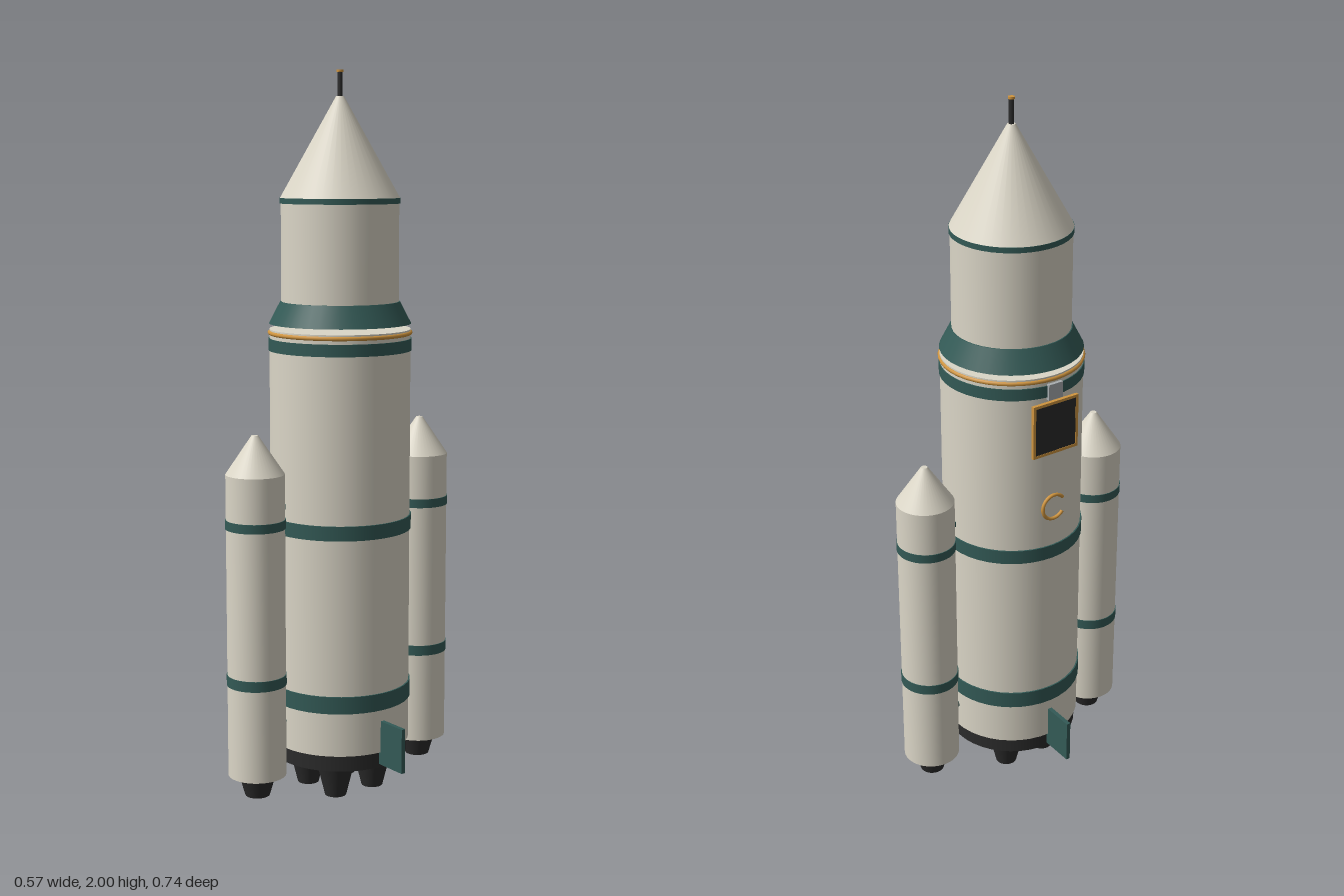
import * as THREE from 'three';

const mat = (name, color) => {
  const m = new THREE.MeshStandardMaterial({ color });
  m.name = name;
  return m;
};

export function createModel() {
  const cream = mat('cream', 0xdbd6c7);
  const teal = mat('teal', 0x335a56);
  const dark = mat('charcoal', 0x2b2b2b);
  const gold = mat('gold', 0xd0953f);
  const grey = mat('light grey', 0xa9adb0);

  const rocket = new THREE.Group();
  rocket.name = 'rocket';

  const add = (parent, name, geometry, material, x = 0, y = 0, z = 0) => {
    const m = new THREE.Mesh(geometry, material);
    m.name = name;
    m.position.set(x, y, z);
    parent.add(m);
    return m;
  };
  // Upright round part between two heights
  const round = (parent, name, material, y0, y1, r0, r1 = r0, x = 0, z = 0, seg = 40) =>
    add(parent, name, new THREE.CylinderGeometry(r1, r0, y1 - y0, seg), material, x, (y0 + y1) / 2, z);

  // Lower stage with its bands
  round(rocket, 'lowerStage', cream, 0.145, 1.305, 0.194);
  round(rocket, 'lowerBand', teal, 0.267, 0.315, 0.198);
  round(rocket, 'middleBand', teal, 0.75, 0.79, 0.198);
  round(rocket, 'upperBand', teal, 1.247, 1.28, 0.197);
  const ring = add(rocket, 'separationRing', new THREE.TorusGeometry(0.193, 0.006, 8, 40), gold, 0, 1.295, 0);
  ring.rotation.x = Math.PI / 2;

  // Upper stage, floating just above the separation gap
  round(rocket, 'interstage', teal, 1.32, 1.38, 0.195, 0.164);
  round(rocket, 'upperStage', cream, 1.38, 1.65, 0.161);
  round(rocket, 'noseBand', teal, 1.645, 1.66, 0.164);
  round(rocket, 'noseCone', cream, 1.66, 1.93, 0.163, 0.011);
  round(rocket, 'antenna', dark, 1.92, 1.994, 0.007, 0.007, 0, 0, 12);
  round(rocket, 'antennaTip', gold, 1.994, 2, 0.009, 0.009, 0, 0, 12);

  // Engine skirt and four main nozzles
  round(rocket, 'engineSkirt', dark, 0.1, 0.145, 0.187);
  for (const x of [-0.065, 0.065]) for (const z of [-0.065, 0.065])
    round(rocket, 'mainNozzle', dark, 0, 0.105, 0.03, 0.056, x, z, 24);

  // Side fins
  for (const s of [-1, 1])
    add(rocket, 'fin', new THREE.BoxGeometry(0.1, 0.125, 0.012), teal, s * 0.235, 0.172, 0);

  // Front and rear boosters with struts
  for (const s of [-1, 1]) {
    const booster = new THREE.Group();
    booster.name = s > 0 ? 'frontBooster' : 'rearBooster';
    booster.position.z = s * 0.286;
    rocket.add(booster);
    round(booster, 'boosterBody', cream, 0.09, 0.93, 0.08);
    round(booster, 'boosterNose', cream, 0.93, 1.035, 0.08, 0.009);
    round(booster, 'boosterLowerBand', teal, 0.347, 0.376, 0.082);
    round(booster, 'boosterUpperBand', teal, 0.782, 0.807, 0.082);
    round(booster, 'boosterNozzle', dark, 0.03, 0.092, 0.034, 0.052, 0, 0, 24);
    for (const y of [0.22, 0.83])
      add(rocket, 'strut', new THREE.BoxGeometry(0.018, 0.015, 0.05), teal, 0, y, s * 0.2);
  }

  // Hatch with frame, lamp and grab ring on the right side
  add(rocket, 'hatchPanel', new THREE.BoxGeometry(0.008, 0.14, 0.13), dark, -0.2, 1.157, 0);
  for (const s of [-1, 1]) {
    add(rocket, 'hatchFrameRail', new THREE.BoxGeometry(0.01, 0.008, 0.146), gold, -0.2, 1.157 + s * 0.073, 0);
    add(rocket, 'hatchFramePost', new THREE.BoxGeometry(0.01, 0.146, 0.008), gold, -0.2, 1.157, s * 0.069);
  }
  add(rocket, 'hatchLamp', new THREE.BoxGeometry(0.014, 0.045, 0.045), grey, -0.196, 1.262, 0);
  const grip = new THREE.TorusGeometry(0.036, 0.005, 8, 32, Math.PI * 1.6);
  grip.rotateZ(Math.PI * 0.2);
  const handle = add(rocket, 'grabRing', grip, gold, -0.199, 0.912, 0);
  handle.rotation.y = -Math.PI / 2;

  return rocket;
}
